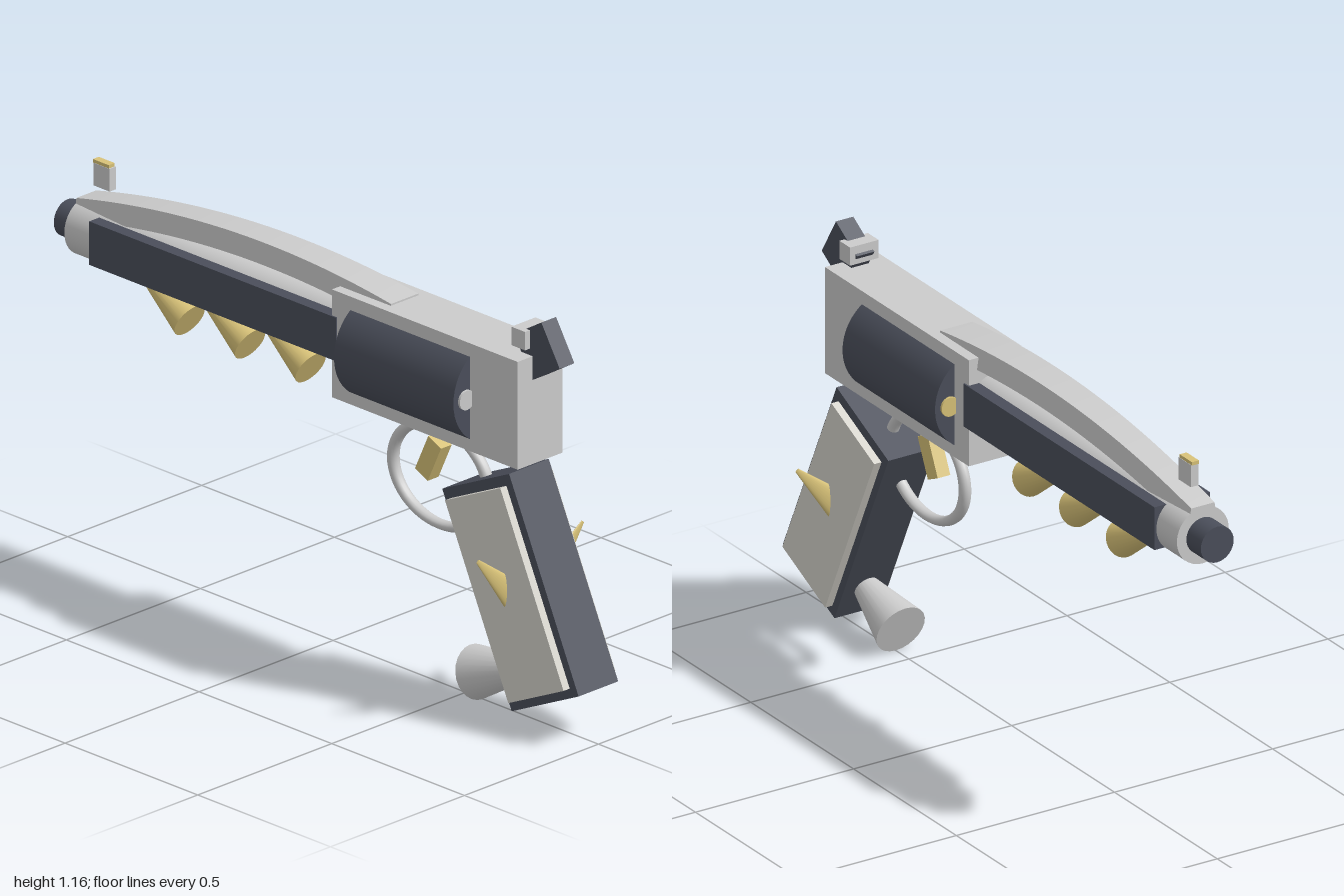
import * as THREE from 'three';

const mat = (color) => new THREE.MeshStandardMaterial({ color });

export function createModel() {
  const model = new THREE.Group();
  const light = mat(0xcccccc);
  const dark = mat(0x4a4e5a);
  const gold = mat(0xd8c278);
  const ivory = mat(0xd6d4cc);

  function add(name, geometry, material, x, y, z, rx = 0) {
    const mesh = new THREE.Mesh(geometry, material);
    mesh.name = name;
    mesh.position.set(x, y, z);
    mesh.rotation.x = rx;
    model.add(mesh);
    return mesh;
  }
  const box = (name, m, w, h, d, x, y, z, rx) =>
    add(name, new THREE.BoxGeometry(w, h, d), m, x, y, z, rx);

  // Round part running along z between two depths
  const rod = (name, m, r, x, y, z0, z1, sides = 40) =>
    add(name, new THREE.CylinderGeometry(r, r, z1 - z0, sides), m, x, y, (z0 + z1) / 2, Math.PI / 2);

  // Tapered part from a base centre to a tip centre
  function taper(name, m, rBase, rTip, base, tip, flat = 1) {
    const a = new THREE.Vector3(...base);
    const b = new THREE.Vector3(...tip);
    const dir = b.clone().sub(a);
    const geo = new THREE.CylinderGeometry(rTip, rBase, dir.length(), 24);
    geo.scale(1, 1, flat);
    const mesh = add(name, geo, m, ...a.add(b).multiplyScalar(0.5).toArray());
    mesh.quaternion.setFromUnitVectors(new THREE.Vector3(0, 1, 0), dir.normalize());
    return mesh;
  }

  // Frame and revolving cylinder with six chambers
  box('frame', light, 0.167, 0.31, 0.7, 0, 0.912, 0.43);
  rod('revolvingCylinder', dark, 0.145, 0, 0.91, 0.15, 0.6, 48);
  for (let i = 0; i < 6; i++) {
    const a = (i * Math.PI) / 3;
    rod('chamber', i % 2 ? light : gold, 0.028,
      0.1 * Math.cos(a), 0.91 + 0.1 * Math.sin(a), 0.143, 0.607, 20);
  }

  // Barrel, muzzle and side panels
  rod('barrel', light, 0.082, 0, 0.928, -0.93, 0.1, 48);
  rod('muzzle', dark, 0.052, 0, 0.928, -1, -0.9, 32);
  for (const s of [-1, 1]) {
    box('barrelPanel', dark, 0.05, 0.125, 0.93, s * 0.063, 0.93, -0.365);
  }

  // Arched rib: a box bent along a parabola and tapered toward the muzzle
  const rib = new THREE.BoxGeometry(1, 1, 1, 1, 1, 28);
  const p = rib.attributes.position;
  for (let i = 0; i < p.count; i++) {
    const t = 0.5 - p.getZ(i);
    const top = p.getY(i) > 0;
    const half = (top ? 0.051 : 0.06) - 0.014 * t;
    const y = 1.072 - 0.057 * t + 0.22 * t * (1 - t);
    p.setXYZ(i, Math.sign(p.getX(i)) * half, top ? y : y - 0.06, 0.27 - 1.2 * t);
  }
  rib.computeVertexNormals();
  add('archedRib', rib, light, 0, 0, 0);

  // Sights and hammer
  box('frontSight', light, 0.024, 0.065, 0.06, 0, 1.088, -0.86);
  box('frontSightBead', gold, 0.022, 0.01, 0.06, 0, 1.125, -0.864);
  box('rearSight', light, 0.09, 0.053, 0.052, 0, 1.112, 0.743);
  box('hammer', dark, 0.055, 0.132, 0.12, 0, 1.086, 0.796, -0.55);

  // Grip, its side panels and flattened side spikes
  box('grip', dark, 0.148, 0.62, 0.278, 0, 0.39, 0.743, -0.436);
  for (const s of [-1, 1]) {
    box('gripPanel', ivory, 0.03, 0.565, 0.23, s * 0.082, 0.388, 0.743, -0.436);
    taper('gripSpike', gold, 0.042, 0.006, [s * 0.06, 0.375, 0.743], [s * 0.196, 0.515, 0.743], 0.32);
  }

  // Trigger and oval guard
  const guard = add('triggerGuard', new THREE.TorusGeometry(0.18, 0.017, 14, 56), light, 0, 0.607, 0.407);
  guard.rotation.y = Math.PI / 2;
  guard.scale.y = 0.79;
  box('trigger', gold, 0.04, 0.118, 0.053, 0, 0.651, 0.378, 0.436);

  // Spikes under the barrel
  for (let i = 0; i < 3; i++) {
    const z = -0.085 - i * 0.228;
    taper('barrelSpike', gold, 0.052, 0.004, [0, 0.768, z], [0, 0.878, z - 0.222]);
  }

  // Flared stud at the foot of the grip
  taper('gripStud', light, 0.075, 0.022, [0, 0.08, 0.54], [0, 0.158, 0.767]);

  return model;
}
